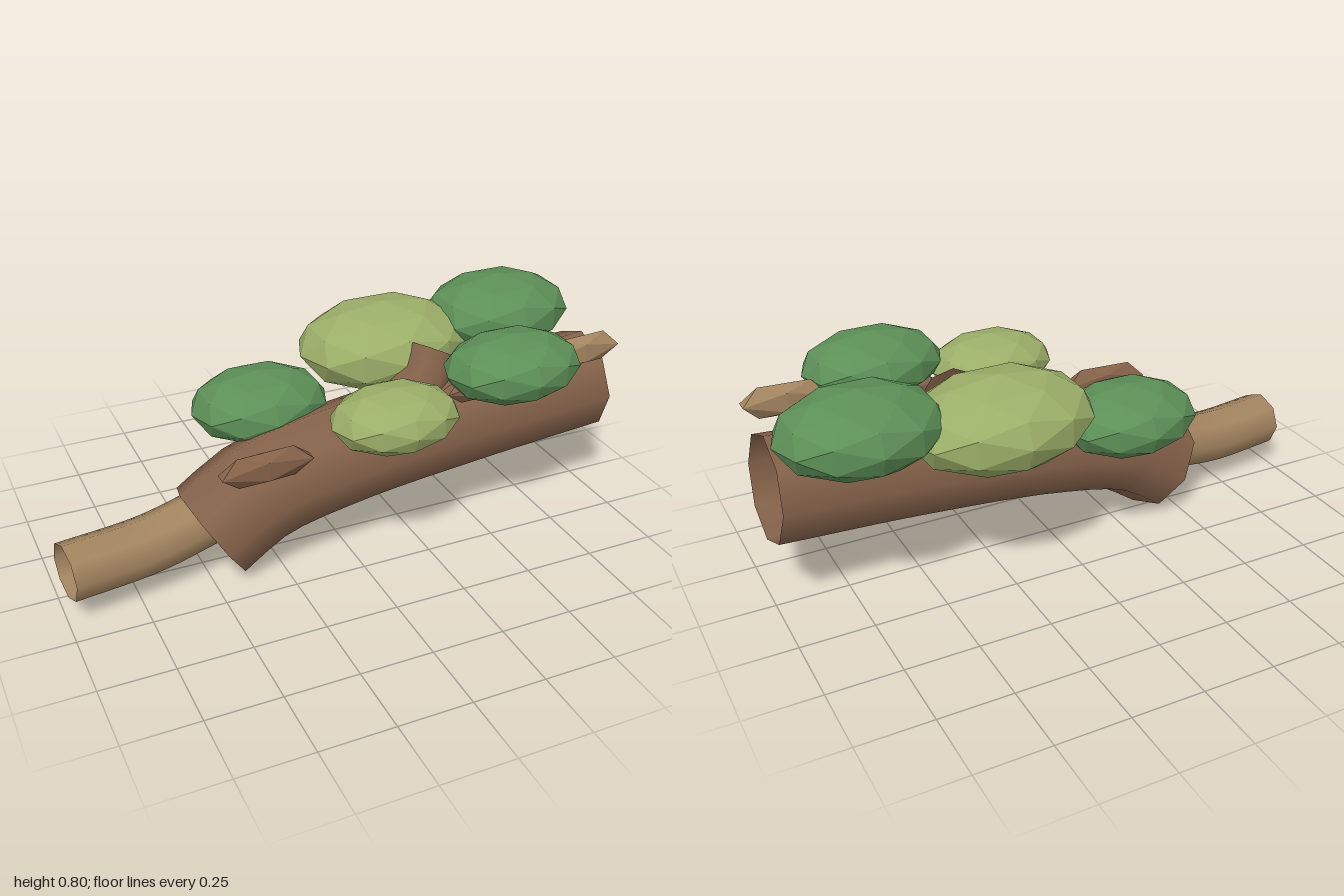
import * as THREE from 'three';

const mat = (color, flatShading = false) =>
  new THREE.MeshStandardMaterial({ color, flatShading, roughness: 0.9, side: flatShading ? THREE.FrontSide : THREE.DoubleSide });

const BARK = mat(0x84624a);
const PALE_WOOD = mat(0xa48560);
const KNOT = mat(0x866349, true);
const PALE_KNOT = mat(0xa48560, true);
const DARK_LEAF = mat(0x5c8f57, true);
const LIGHT_LEAF = mat(0x9bae68, true);

export function createModel() {
  const group = new THREE.Group();
  group.name = 'fallenLog';

  const add = (name, geometry, material) => {
    const mesh = new THREE.Mesh(geometry, material);
    mesh.name = name;
    group.add(mesh);
    return mesh;
  };

  // open eight-sided tube along a smooth path
  const tube = (name, points, radius, material) => {
    const path = new THREE.CatmullRomCurve3(points.map((p) => new THREE.Vector3(...p)));
    return add(name, new THREE.TubeGeometry(path, 16, radius, 8), material);
  };

  // faceted ellipsoid
  const blob = (name, detail, center, size, material, tilt = 0) => {
    const mesh = add(name, new THREE.IcosahedronGeometry(1, detail), material);
    mesh.position.set(...center);
    mesh.scale.set(...size);
    mesh.rotation.z = tilt;
  };

  // hollow trunk
  tube('trunk', [[-0.475, 0.15, 0.04], [-0.3, 0.262, 0.037], [0, 0.333, 0.035], [0.5, 0.387, 0.03], [0.985, 0.42, 0.02]], 0.184, BARK);

  // thinner branch at the end
  tube('branch', [[-0.985, 0.167, 0.11], [-0.7, 0.172, 0.07], [-0.5, 0.21, 0.045], [-0.3, 0.27, 0.035]], 0.1, PALE_WOOD);

  // broken stub curving up through the top of the trunk
  tube('stub', [[0.02, 0.33, 0.035], [0.2, 0.43, 0.03], [0.32, 0.54, 0.01], [0.37, 0.63, -0.02]], 0.1, BARK);

  // bark knots along the front
  const knots = [
    [[-0.325, 0.44, 0.192], [0.185, 0.064, 0.04], KNOT],
    [[0.1, 0.485, 0.192], [0.19, 0.064, 0.04], KNOT],
    [[0.48, 0.575, 0.192], [0.19, 0.06, 0.04], KNOT],
    [[0.85, 0.627, 0.192], [0.165, 0.064, 0.04], PALE_KNOT],
  ];
  knots.forEach(([c, s, m], i) => blob(`knot${i + 1}`, 0, c, s, m, 0.04));

  // leaf clumps: three behind, two in front
  const leaves = [
    [[-0.212, 0.48, -0.165], [0.245, 0.122, 0.195], DARK_LEAF],
    [[0.28, 0.602, -0.205], [0.32, 0.155, 0.241], LIGHT_LEAF],
    [[0.727, 0.662, -0.18], [0.272, 0.134, 0.217], DARK_LEAF],
    [[0.09, 0.57, 0.272], [0.222, 0.106, 0.17], LIGHT_LEAF],
    [[0.53, 0.662, 0.257], [0.243, 0.115, 0.182], DARK_LEAF],
  ];
  leaves.forEach(([c, s, m], i) => blob(`leafClump${i + 1}`, 1, c, s, m));

  return group;
}
